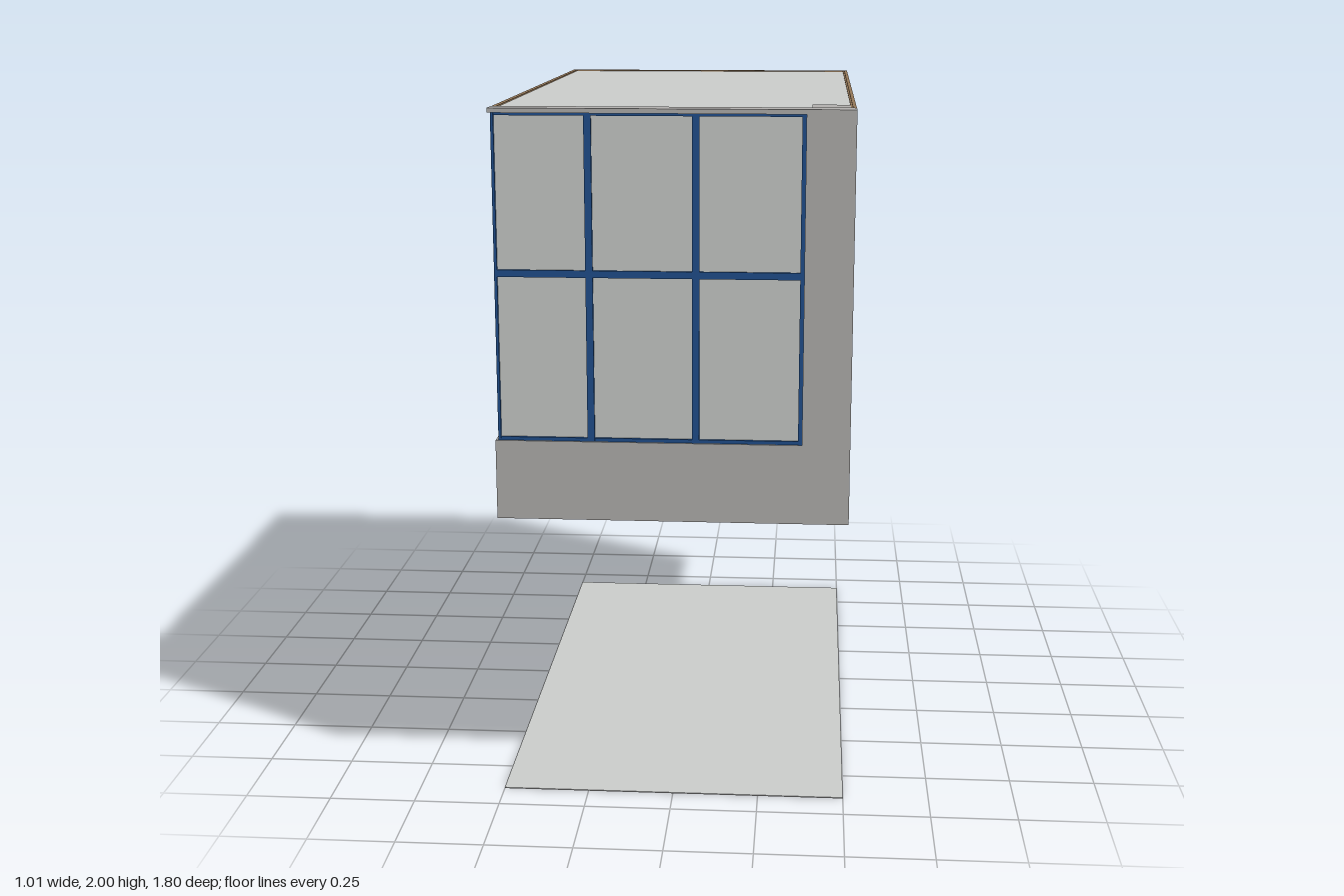
import * as THREE from 'three';

const mat = (name, color) => Object.assign(new THREE.MeshStandardMaterial({ color }), { name });

export function createModel() {
  const brown = mat('brown cladding', 0x927657);
  const pale = mat('pale grey', 0xc9cbc9);
  const grey = mat('warm grey', 0xb1afad);
  const blue = mat('blue frame', 0x1f4e8c);
  const dark = mat('dark panel', 0x222222);
  const model = new THREE.Group();

  // Box given by its limits on each axis
  const box = (name, material, [x0, x1], [y0, y1], [z0, z1], parent = model) => {
    const mesh = new THREE.Mesh(new THREE.BoxGeometry(x1 - x0, y1 - y0, z1 - z0), material);
    mesh.position.set((x0 + x1) / 2, (y0 + y1) / 2, (z0 + z1) / 2);
    mesh.name = name;
    parent.add(mesh);
    return mesh;
  };

  // Ground plate, cabin floor and roof
  box('groundPlate', pale, [-0.5, 0.5], [0, 0.003], [-0.9, 0.9]);
  box('floor', grey, [-0.498, 0.498], [0.84, 0.855], [-0.888, 0.885]);
  box('roof', pale, [-0.487, 0.487], [1.98, 1.996], [-0.88, 0.84]);
  box('pillarCap', grey, [0.38, 0.485], [1.99, 1.998], [0.69, 0.83]);
  for (const z of [-0.23, 0.22]) {
    box('floorSlot', dark, [-0.125, 0.125], [0.837, 0.841], [z - 0.006, z + 0.006]);
  }

  // Side walls; the +x one has shallow seams near the front
  box('leftWallCore', brown, [0.485, 0.496], [0.842, 1.998], [-0.885, 0.883]);
  for (const [a, b] of [[-0.89, 0.682], [0.69, 0.835], [0.842, 0.885]]) {
    box('leftWallPanel', brown, [0.49, 0.5], [0.842, 2], [a, b]);
  }
  box('rightWall', brown, [-0.5, -0.487], [0.842, 2], [-0.89, 0.835]);
  box('leftScreen', dark, [0.499, 0.503], [1.07, 1.345], [-0.18, 0.18]);
  box('rightScreen', dark, [-0.503, -0.499], [1.15, 1.27], [-0.08, 0.08]);
  box('rightSlot', dark, [-0.503, -0.499], [1.07, 1.085], [-0.07, 0.06]);

  // Back wall with pale panels, posts and a door
  box('backWall', brown, [-0.49, 0.49], [0.842, 2], [-0.887, -0.878]);
  for (const [a, b] of [[-0.365, -0.16], [-0.125, 0.168], [0.172, 0.485]]) {
    box('backPanel', pale, [a, b], [0.85, 1.985], [-0.89, -0.88]);
  }
  for (const [a, b] of [[-0.41, -0.367], [-0.158, -0.127]]) {
    box('backPost', pale, [a, b], [0.845, 1.985], [-0.892, -0.88]);
  }
  const door = new THREE.Group();
  door.name = 'door';
  model.add(door);
  box('doorLeaf', pale, [-0.35, -0.165], [0.85, 1.31], [-0.895, -0.885], door);
  box('doorTrimTop', grey, [-0.358, -0.157], [1.31, 1.32], [-0.896, -0.885], door);
  box('doorHandle', grey, [-0.188, -0.178], [1.04, 1.15], [-0.905, -0.89], door);

  // Front surround: sill block, corner column and thin header
  box('frontSill', grey, [-0.5, 0.5], [0.84, 1.07], [0.84, 0.9]);
  box('frontColumn', grey, [0.365, 0.5], [1.07, 1.99], [0.885, 0.9]);
  box('frontHeader', grey, [-0.5, 0.5], [1.988, 2.001], [0.83, 0.9]);

  // Glazing that turns the corner, with blue bars
  const frontWindow = new THREE.Group();
  frontWindow.name = 'frontWindow';
  model.add(frontWindow);
  box('glass', pale, [-0.488, 0.365], [1.07, 1.988], [0.836, 0.888], frontWindow);
  for (const [x, w] of [[-0.488, 0.004], [-0.228, 0.01], [0.067, 0.01], [0.36, 0.006]]) {
    box('mullion', blue, [x - w, x + w], [1.07, 1.988], [0.88, 0.896], frontWindow);
  }
  for (const [y, h] of [[1.075, 0.005], [1.547, 0.01], [1.985, 0.004]]) {
    box('transom', blue, [-0.492, 0.365], [y - h, y + h], [0.838, 0.895], frontWindow);
  }
  box('sideMullion', blue, [-0.492, -0.48], [1.07, 1.988], [0.836, 0.845], frontWindow);
  return model;
}
